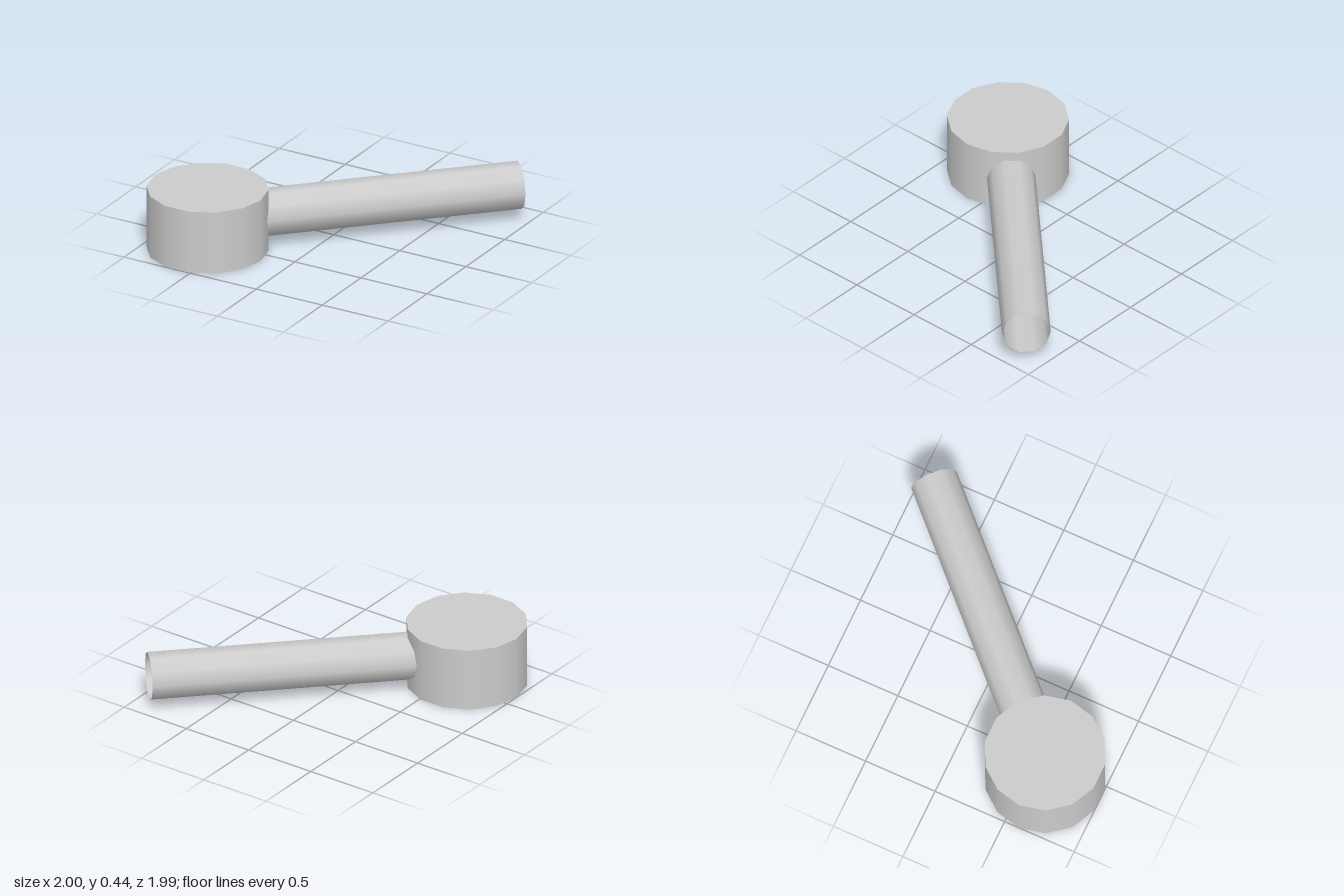
import * as THREE from 'three';

export function createModel() {
  const model = new THREE.Group();
  const grey = new THREE.MeshStandardMaterial({ color: 0xcccccc, side: THREE.DoubleSide });
  grey.name = 'plain grey';

  const height = 0.435;
  const hub = new THREE.Vector3(-0.6, height / 2, 0.605);
  const tip = new THREE.Vector3(0.8875, height / 2, -0.8825);

  // Fourteen-sided closed drum, corners pointing along x
  const drum = new THREE.Mesh(
    new THREE.CylinderGeometry(0.4, 0.4, height, 14, 1, false, Math.PI / 2), grey);
  drum.name = 'drum';
  drum.position.copy(hub);

  // Ten-sided open pipe running diagonally from the drum's centre, flat side up
  const pipeGeometry = new THREE.CylinderGeometry(
    0.159, 0.159, hub.distanceTo(tip), 10, 1, true, Math.PI / 2);
  pipeGeometry.rotateX(-Math.PI / 2).rotateY(-Math.PI / 4);
  const pipe = new THREE.Mesh(pipeGeometry, grey);
  pipe.name = 'pipe';
  pipe.position.copy(hub).lerp(tip, 0.5);

  model.add(drum, pipe);
  return model;
}
